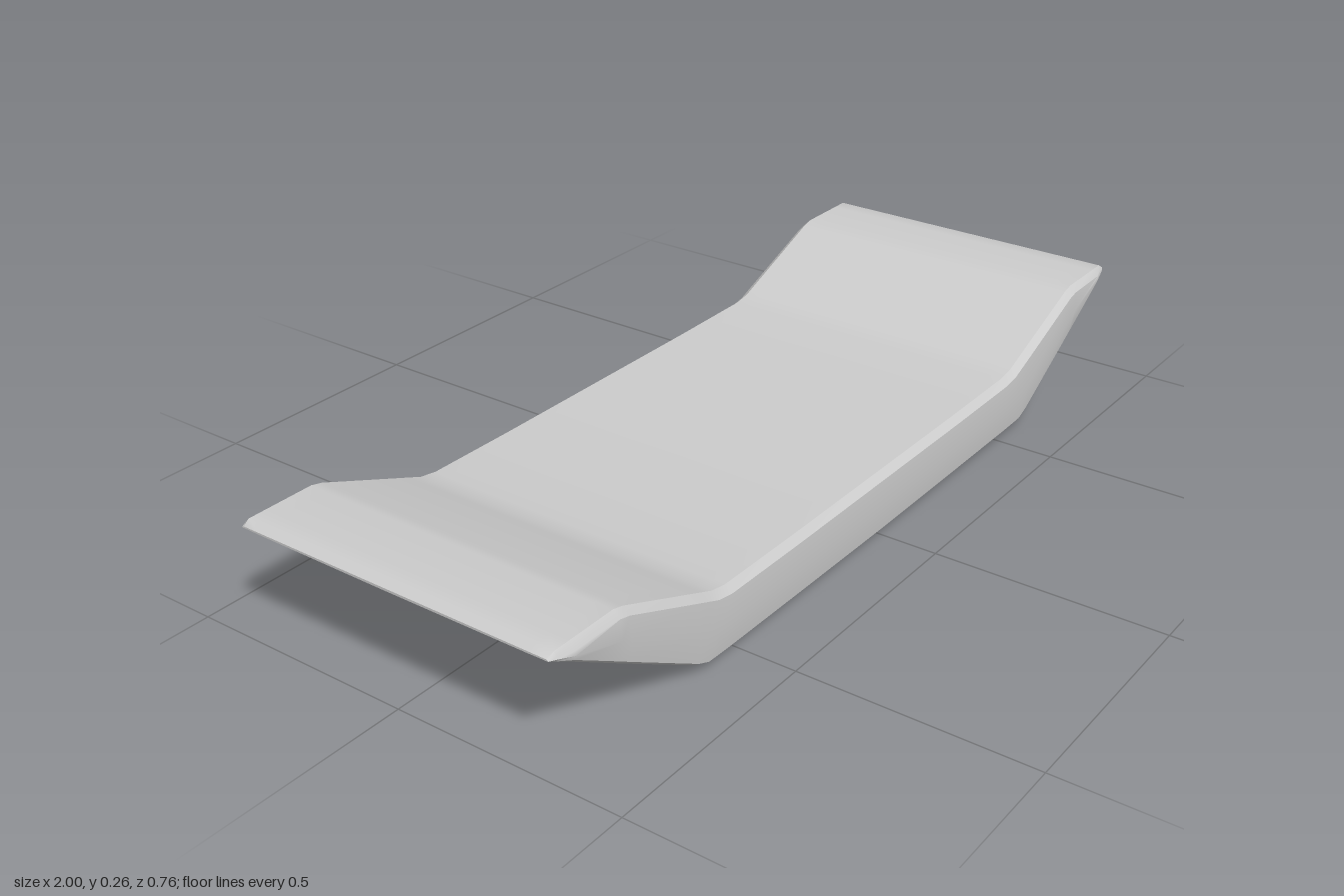
import * as THREE from 'three';
import { toCreasedNormals } from 'three/addons/utils/BufferGeometryUtils.js';

// Half of the long profile, centre to tip: x, underside y, top y, half width
const HALF = [
  [0, 0, 0.141, 0.375],
  [0.3, 0.002, 0.141, 0.375],
  [0.52, 0.004, 0.143, 0.375],
  [0.56, 0.005, 0.15, 0.375],
  [0.59, 0.006, 0.162, 0.375],
  [0.62, 0.018, 0.174, 0.375],
  [0.81, 0.129, 0.25, 0.374],
  [0.835, 0.144, 0.256, 0.374],
  [0.95, 0.212, 0.256, 0.373],
  [0.985, 0.232, 0.256, 0.366],
  [1, 0.243, 0.248, 0.36],
];

// Cross-section with chamfered long edges and slightly bulging sides
function section([x, bottom, top, w]) {
  const h = top - bottom;
  const b = Math.min(0.014, h * 0.3);
  const bulge = 0.003 * Math.min(1, h / 0.13);
  const half = [
    [0, top],
    [0.32, top],
    [Math.min(0.358, w - 0.005), top],
    [w - 0.001, top - b],
    [w + bulge, (top + bottom) / 2],
    [w - 0.002, bottom + b],
    [Math.min(0.35, w - 0.008), bottom + 0.002],
    [0.32, bottom + 0.001],
    [0, bottom],
  ];
  const mirrored = half.slice(1, -1).reverse().map(([z, y]) => [-z, y]);
  return [...half, ...mirrored].map(([z, y]) => [x, y, z]);
}

// Skin neighbouring sections and close both tips
function loft(rings) {
  const n = rings[0].length;
  const index = [];
  for (let i = 0; i < rings.length - 1; i++) {
    for (let j = 0; j < n; j++) {
      const a = i * n + j;
      const b = i * n + (j + 1) % n;
      index.push(a, b, a + n, b, b + n, a + n);
    }
  }
  const last = (rings.length - 1) * n;
  for (let j = 1; j < n - 1; j++) {
    index.push(0, j + 1, j);
    index.push(last, last + j, last + j + 1);
  }
  const geometry = new THREE.BufferGeometry();
  geometry.setAttribute('position', new THREE.Float32BufferAttribute(rings.flat(2), 3));
  geometry.setIndex(index);
  return toCreasedNormals(geometry, 0.65);
}

export function createModel() {
  const group = new THREE.Group();
  group.name = 'upturnedDeck';

  // Flat middle with both ends rising to thin tips
  const left = HALF.slice(1).reverse().map(([x, ...rest]) => [-x, ...rest]);
  const deck = new THREE.Mesh(
    loft([...left, ...HALF].map(section)),
    new THREE.MeshStandardMaterial({ color: 0xcccccc })
  );
  deck.name = 'deck';
  group.add(deck);
  return group;
}
